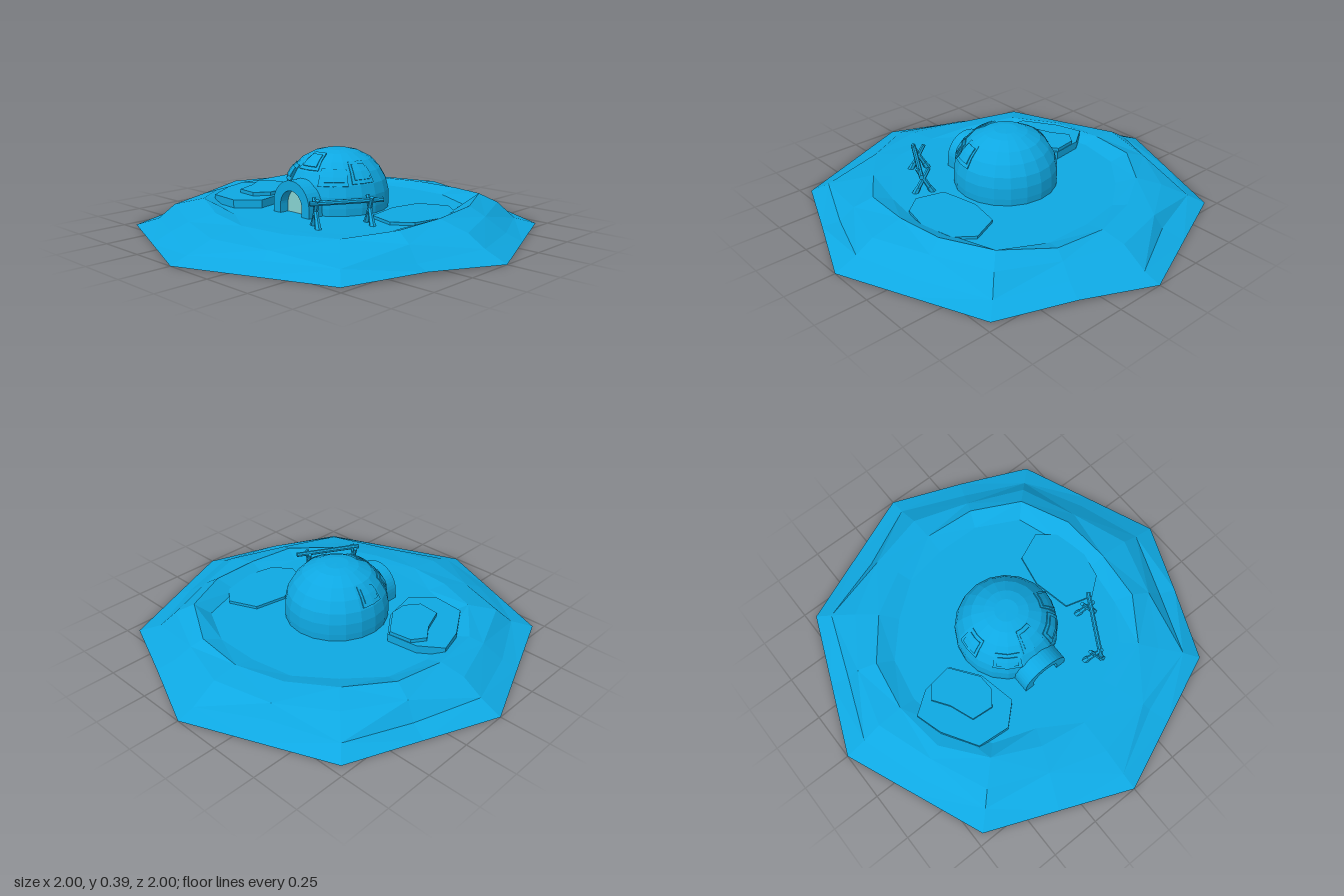
import * as THREE from 'three';

const blue = new THREE.MeshStandardMaterial({ color: 0x0ea8e2, flatShading: true, side: THREE.DoubleSide });
const glass = new THREE.MeshStandardMaterial({ color: 0x86d2d0, flatShading: true, side: THREE.DoubleSide });

// Flat-shaded skin over equal-length rings, listed from outer/bottom to inner/top, closed by a fan
function skin(rings) {
  const pos = [];
  const tri = (...pts) => pts.forEach(p => pos.push(p.x, p.y, p.z));
  const n = rings[0].length;
  for (let r = 0; r < rings.length - 1; r++) {
    for (let i = 0; i < n; i++) {
      const j = (i + 1) % n;
      const [a, b, c, d] = [rings[r][i], rings[r][j], rings[r + 1][j], rings[r + 1][i]];
      if ((i + r) % 2) { tri(a, b, c); tri(a, c, d); } else { tri(a, b, d); tri(b, c, d); }
    }
  }
  const top = rings[rings.length - 1];
  const mid = top.reduce((s, p) => s.add(p), new THREE.Vector3()).divideScalar(n);
  top.forEach((p, i) => tri(p, top[(i + 1) % n], mid));
  const g = new THREE.BufferGeometry();
  g.setAttribute('position', new THREE.Float32BufferAttribute(pos, 3));
  g.computeVertexNormals();
  return g;
}

function add(group, name, geometry, material = blue) {
  const mesh = new THREE.Mesh(geometry, material);
  mesh.name = name;
  group.add(mesh);
  return mesh;
}

// Open-bottomed slab over an [x, z] outline running clockwise from above
function slab(outline, y0, y1) {
  const pts = [...outline].reverse();
  return skin([y0, y1].map(y => pts.map(([x, z]) => new THREE.Vector3(x, y, z))));
}

function rod(a, b, r0, r1 = r0, sides = 6) {
  const dir = b.clone().sub(a);
  const g = new THREE.CylinderGeometry(r1, r0, dir.length(), sides);
  g.applyQuaternion(new THREE.Quaternion().setFromUnitVectors(new THREE.Vector3(0, 1, 0), dir.normalize()));
  const m = a.clone().add(b).multiplyScalar(0.5);
  return g.translate(m.x, m.y, m.z);
}

// Mound: octagonal rim, rising slope, uneven ridge and level middle; lists run from +z towards +x
function terrain() {
  const ridgeY = [0.102, 0.1, 0.104, 0.128, 0.138, 0.15, 0.155, 0.128, 0.122, 0.122, 0.132, 0.137, 0.126, 0.122, 0.135, 0.115];
  const ridgeR = [0.61, 0.62, 0.67, 0.67, 0.64, 0.67, 0.71, 0.69, 0.66, 0.64, 0.65, 0.67, 0.66, 0.68, 0.66, 0.62];
  const shoulderY = [0.075, 0.07, 0.075, 0.09, 0.1, 0.105, 0.11, 0.1, 0.105, 0.1, 0.1, 0.105, 0.11, 0.1, 0.105, 0.085];
  const wob = (i, k) => Math.sin(i * 2.4 + k * 1.9);
  const ring = fn => ridgeY.map((h, i) => {
    const a = i / 16 * Math.PI * 2;
    const [r, y] = fn(i);
    return new THREE.Vector3(Math.sin(a) * r, y, Math.cos(a) * r);
  });
  const oct = i => (i % 2 ? Math.cos(Math.PI / 8) : 1);
  return skin([
    ring(i => [oct(i), i === 3 || i === 7 ? 0.015 : 0]),
    ring(i => [0.9 * oct(i) + 0.015 * wob(i, 1), 0.037 + 0.012 * wob(i, 2)]),
    ring(i => [0.79 * (1 + oct(i)) / 2 + 0.015 * wob(i, 3), shoulderY[i]]),
    ring(i => [ridgeR[i], ridgeY[i]]),
    ring(i => [ridgeR[i] - 0.09 + 0.015 * wob(i, 6), 0.1]),
  ]);
}

// Box bent onto the dome; angles in degrees, azimuth from +z towards +x
function domePanel(az, halfWidth, el0, el1, r0, r1) {
  const g = new THREE.BoxGeometry(1, 1, 1, 2, 2, 1);
  const p = g.attributes.position;
  const rad = Math.PI / 180;
  for (let i = 0; i < p.count; i++) {
    const a = (az + p.getX(i) * 2 * halfWidth) * rad;
    const e = (el0 + (p.getY(i) + 0.5) * (el1 - el0)) * rad;
    const r = r0 + (p.getZ(i) + 0.5) * (r1 - r0);
    p.setXYZ(i, Math.sin(a) * Math.cos(e) * r, 0.13 + Math.sin(e) * r, Math.cos(a) * Math.cos(e) * r);
  }
  g.computeVertexNormals();
  return g;
}

function archPath(path, r, y0, yc) {
  path.moveTo(-r, y0);
  path.lineTo(r, y0);
  path.lineTo(r, yc);
  path.absarc(0, yc, r, 0, Math.PI, false);
  path.lineTo(-r, y0);
  return path;
}

export function createModel() {
  const model = new THREE.Group();
  model.name = 'domeHutOnMound';
  add(model, 'mound', terrain());

  // Dome hut with a flattened cap
  const hut = new THREE.Group();
  hut.name = 'hut';
  model.add(hut);
  const profile = [[0.256, 0.09], [0.259, 0.135], [0.257, 0.19], [0.244, 0.243], [0.214, 0.295], [0.17, 0.342],
    [0.108, 0.374], [0.058, 0.385], [0, 0.386]].map(([r, y]) => new THREE.Vector2(r, y));
  add(hut, 'dome', new THREE.LatheGeometry(profile, 20));

  // Raised window panels: azimuth, half width, lower and upper elevation
  [[-90, 14, 27, 50], [-37, 17, 24, 43], [2, 17, 40, 65], [40, 17, 24, 43], [76, 14, 26, 52]].forEach(([az, w, e0, e1]) => {
    add(hut, 'windowFrame', domePanel(az, w, e0, e1, 0.235, 0.274));
    add(hut, 'windowPane', domePanel(az, w * 0.75, e0 + 4, e1 - 4, 0.24, 0.277));
  });

  // Arched entrance tunnel and door
  const arch = archPath(new THREE.Shape(), 0.122, 0.09, 0.143);
  arch.holes.push(archPath(new THREE.Path(), 0.073, 0.091, 0.143));
  const tunnel = new THREE.ExtrudeGeometry(arch, { depth: 0.13, bevelEnabled: false, curveSegments: 10 });
  add(hut, 'entranceArch', tunnel.translate(0, 0, 0.18));
  const door = new THREE.ShapeGeometry(archPath(new THREE.Shape(), 0.074, 0.09, 0.143), 10);
  add(hut, 'door', door.translate(0, 0, 0.261), glass);

  // Stacked rock slabs and the sunken slab on the other side
  add(model, 'lowerRock', slab([[-0.62, 0.085], [-0.51, 0.005], [-0.35, -0.015], [-0.25, 0.12], [-0.21, 0.31],
    [-0.31, 0.405], [-0.475, 0.39], [-0.58, 0.22]], 0.005, 0.14));
  add(model, 'upperRock', slab([[-0.52, 0.07], [-0.475, 0.005], [-0.36, -0.012], [-0.26, 0.125], [-0.257, 0.21],
    [-0.31, 0.28], [-0.42, 0.27], [-0.465, 0.15]], 0.04, 0.158));
  add(model, 'sunkenSlab', slab([[0.28, -0.1], [0.31, -0.26], [0.45, -0.32], [0.54, -0.25], [0.58, -0.08],
    [0.55, 0.06], [0.46, 0.13], [0.32, 0.09]], 0.02, 0.114));

  // Rail resting on two crossed-leg trestles
  const rack = new THREE.Group();
  rack.name = 'rack';
  model.add(rack);
  const v = (x, y, z) => new THREE.Vector3(x, y, z);
  add(rack, 'rail', rod(v(0.42, 0.213, 0.13), v(0.25, 0.213, 0.43), 0.012, 0.012, 8));
  [[0.378, 0.175], [0.248, 0.39]].forEach(([x, z]) => {
    [-1, 1].forEach(s => {
      const foot = v(x + s * 0.042, 0.085, z + s * 0.024);
      const tip = v(x - s * 0.025, 0.228, z - s * 0.014);
      add(rack, 'leg', rod(foot, tip, 0.013, 0.01));
      add(rack, 'foot', rod(foot, foot.clone().lerp(tip, 0.3), 0.017, 0.013));
    });
  });
  return model;
}
